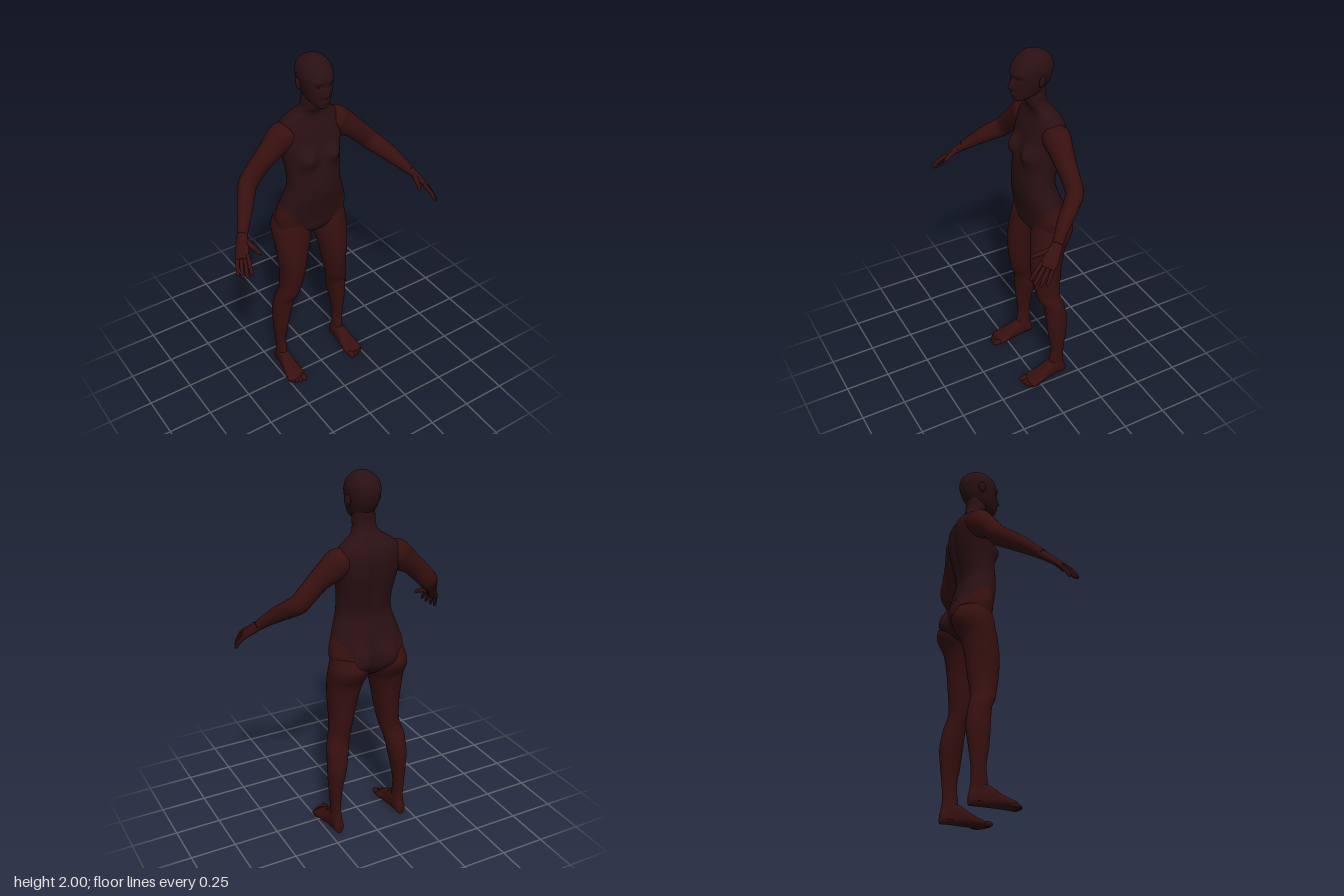
import * as THREE from 'three';

const torsoSkin = new THREE.MeshStandardMaterial({ color: 0x2a1012 });
torsoSkin.name = 'torso skin';
const limbSkin = new THREE.MeshStandardMaterial({ color: 0x36100f });
limbSkin.name = 'limb skin';

const X = new THREE.Vector3(1, 0, 0);
const Y = new THREE.Vector3(0, 1, 0);
const Z = new THREE.Vector3(0, 0, 1);

// Smooth interpolation between control rings
function refine(rings, steps) {
  const out = [], last = rings.length - 1;
  for (let i = 0; i < last; i++) {
    const p = [rings[Math.max(i - 1, 0)], rings[i], rings[i + 1], rings[Math.min(i + 2, last)]];
    for (let s = 0; s < steps; s++) {
      const t = s / steps;
      out.push(rings[i].map((_, k) => {
        const [a, b, c, d] = p.map((r) => r[k]);
        return 0.5 * (2 * b + (c - a) * t + (2 * a - 5 * b + 4 * c - d) * t * t + (3 * b - a - 3 * c + d) * t ** 3);
      }));
    }
  }
  out.push(rings[last]);
  return out;
}

// Closed skin over rings [x, y, z, radius across, radius along ref].
// dir fixes the ring direction, otherwise rings follow their path.
function loft(name, rings, { ref = Z, dir = null, n = 24, steps = 5, power = 2, side = 1, sculpt = null, isLimb = () => true } = {}) {
  const list = refine(rings, steps);
  const full = [[...list[0].slice(0, 3), 0, 0], ...list, [...list[list.length - 1].slice(0, 3), 0, 0]];
  const centres = full.map((r) => new THREE.Vector3(r[0], r[1], r[2]));
  const pos = [], body = [], limb = [];
  const bend = (v) => Math.sign(v) * Math.abs(v) ** (2 / power);
  full.forEach((r, i) => {
    const t = dir || centres[Math.min(i + 2, full.length - 1)].clone().sub(centres[Math.max(i - 2, 0)]).normalize();
    const v = ref.clone().addScaledVector(t, -ref.dot(t)).normalize();
    const u = v.clone().cross(t);
    for (let j = 0; j < n; j++) {
      const a = (j / n) * Math.PI * 2;
      const q = centres[i].clone()
        .addScaledVector(u, bend(Math.cos(a)) * Math.max(r[3], 0))
        .addScaledVector(v, bend(Math.sin(a)) * Math.max(r[4], 0));
      if (sculpt) q.z += sculpt(Math.abs(q.x), q.y, Math.cos(a));
      pos.push(q.x * side, q.y, q.z);
    }
  });
  const addFace = (a, b, c) => {
    const x = Math.abs(pos[a * 3] + pos[b * 3] + pos[c * 3]) / 3;
    const y = (pos[a * 3 + 1] + pos[b * 3 + 1] + pos[c * 3 + 1]) / 3;
    (isLimb(x, y) ? limb : body).push(...(side > 0 ? [a, b, c] : [a, c, b]));
  };
  for (let i = 0; i < full.length - 1; i++) {
    for (let j = 0; j < n; j++) {
      const a = i * n + j, b = i * n + (j + 1) % n;
      if (i > 0) addFace(a, b, b + n);
      if (i === 0) addFace(a, b + n, a + n);
      else if (i < full.length - 2) addFace(a, b + n, a + n);
    }
  }
  const g = new THREE.BufferGeometry();
  g.setAttribute('position', new THREE.Float32BufferAttribute(pos, 3));
  g.setIndex([...body, ...limb]);
  g.computeVertexNormals();
  let material = limb.length ? limbSkin : torsoSkin;
  if (body.length && limb.length) {
    g.addGroup(0, body.length, 0);
    g.addGroup(body.length, limb.length, 1);
    material = [torsoSkin, limbSkin];
  }
  const mesh = new THREE.Mesh(g, material);
  mesh.name = name;
  return mesh;
}

// Ring from [y, inner x, outer x, front z, back z]
const slice = ([y, x0, x1, zf, zb]) => [(x0 + x1) / 2, y, (zf + zb) / 2, (zf - zb) / 2, (x1 - x0) / 2];
// Symmetric ring from [y, half width, front z, back z]
const level = ([y, w, zf, zb]) => slice([y, -w, w, zf, zb]);
const bump = (x, y, cx, cy, sx, sy) => Math.exp(-(((x - cx) / sx) ** 2) - ((y - cy) / sy) ** 2);

const belowHipLine = (x, y) => y < Math.min(1.19, 0.9 + 1.4 * x);

function sculptTorso(x, y, c) {
  if (c > 0) return c * 0.045 * bump(x, y, 0.082, 1.455, 0.05, 0.05);
  return -c * (0.013 * bump(x, y, 0, 1.45, 0.025, 0.2) - 0.054 * bump(x, y, 0.085, 1.045, 0.075, 0.085));
}

function sculptHead(x, y, c) {
  if (c < 0) return 0;
  return c * (0.02 * bump(x, y, 0, 1.825, 0.014, 0.016) + 0.01 * bump(x, y, 0, 1.85, 0.011, 0.022)
    + 0.008 * bump(x, y, 0, 1.787, 0.022, 0.009) + 0.006 * bump(x, y, 0.03, 1.893, 0.025, 0.01)
    - 0.012 * bump(x, y, 0.033, 1.868, 0.018, 0.014));
}

function arm(side) {
  const g = new THREE.Group();
  g.name = side > 0 ? 'leftArm' : 'rightArm';
  g.add(loft('armLimb', [
    [0.12, 1.585, -0.115, 0.06, 0.065], [0.16, 1.567, -0.115, 0.075, 0.072], [0.2, 1.537, -0.112, 0.073, 0.062],
    [0.262, 1.49, -0.105, 0.058, 0.053], [0.32, 1.435, -0.103, 0.055, 0.046], [0.372, 1.38, -0.095, 0.053, 0.045],
    [0.41, 1.345, -0.055, 0.049, 0.042], [0.45, 1.305, 0, 0.042, 0.038], [0.49, 1.26, 0.05, 0.032, 0.03],
    [0.517, 1.23, 0.082, 0.026, 0.027],
  ], { side }));
  // Palm, flattened across the line of knuckles
  const across = new THREE.Vector3(0.53, -0.36, -0.77);
  g.add(loft('palm', [
    [0.507, 1.24, 0.07, 0.024, 0.026], [0.535, 1.205, 0.108, 0.021, 0.034],
    [0.558, 1.174, 0.146, 0.016, 0.041], [0.572, 1.155, 0.168, 0.01, 0.036],
  ], { ref: across, side }));
  const tips = [[0.565, 1.11, 0.255], [0.585, 1.09, 0.244], [0.6, 1.08, 0.219], [0.61, 1.078, 0.188]];
  tips.forEach((tip, i) => {
    const base = new THREE.Vector3(0.56, 1.168, 0.155).addScaledVector(across, -0.03 + i * 0.02);
    const end = new THREE.Vector3(...tip);
    const mid = base.clone().lerp(end, 0.55).add(new THREE.Vector3(0.003, 0.004, 0.003));
    const near = mid.clone().lerp(end, 0.88);
    g.add(loft('finger', [
      [...base, 0.011, 0.0105], [...mid, 0.0105, 0.01], [...near, 0.008, 0.008], [...end, 0.002, 0.002],
    ], { ref: across, n: 10, steps: 3, side }));
  });
  g.add(loft('thumb', [
    [0.525, 1.212, 0.105, 0.014, 0.016], [0.512, 1.204, 0.15, 0.014, 0.015], [0.5, 1.192, 0.185, 0.011, 0.011],
    [0.492, 1.18, 0.208, 0.008, 0.009], [0.489, 1.176, 0.216, 0.002, 0.002],
  ], { ref: Y, n: 12, steps: 3, side }));
  return g;
}

function leg(side) {
  const g = new THREE.Group();
  g.name = side > 0 ? 'leftLeg' : 'rightLeg';
  g.add(loft('legLimb', [
    [0.02, 0.168, 0.225, -0.09, -0.17], [0.05, 0.166, 0.226, -0.08, -0.178], [0.12, 0.17, 0.226, -0.083, -0.168],
    [0.2, 0.17, 0.23, -0.09, -0.17], [0.3, 0.157, 0.236, -0.075, -0.182], [0.4, 0.135, 0.24, -0.065, -0.19],
    [0.5, 0.115, 0.235, -0.055, -0.173], [0.55, 0.102, 0.223, -0.032, -0.159], [0.6, 0.09, 0.21, -0.018, -0.156],
    [0.7, 0.07, 0.205, 0, -0.168], [0.8, 0.05, 0.213, 0.005, -0.178], [0.9, 0.022, 0.22, -0.004, -0.197],
    [0.95, 0.004, 0.222, -0.012, -0.226], [1.0, 0.002, 0.219, -0.018, -0.243], [1.06, 0.03, 0.2, -0.035, -0.22],
  ].map(slice), { ref: X, dir: Y, n: 40, steps: 6, side, isLimb: belowHipLine }));
  // Foot rings run from heel to ball: [z, inner x, outer x, height]
  g.add(loft('foot', [
    [-0.18, 0.188, 0.208, 0.045], [-0.17, 0.172, 0.222, 0.07], [-0.13, 0.166, 0.227, 0.11], [-0.08, 0.162, 0.234, 0.105],
    [-0.03, 0.155, 0.246, 0.072], [0.02, 0.149, 0.255, 0.046], [0.05, 0.152, 0.254, 0.033], [0.065, 0.165, 0.235, 0.02],
  ].map(([z, x0, x1, h]) => [(x0 + x1) / 2, h / 2, z, (x1 - x0) / 2, h / 2]), { ref: Y, dir: Z, power: 2.5, side }));
  [[0.17, 0.1, 0.017], [0.195, 0.098, 0.012], [0.215, 0.09, 0.0115], [0.232, 0.08, 0.011], [0.247, 0.067, 0.0105]]
    .forEach(([x, z, r]) => {
      const toe = new THREE.Mesh(new THREE.SphereGeometry(1, 14, 10), limbSkin);
      toe.name = 'toe';
      toe.scale.set(r, r * 0.9, 0.032);
      toe.position.set(x * side, r * 0.92, z - 0.032);
      g.add(toe);
    });
  return g;
}

export function createModel() {
  const model = new THREE.Group();
  model.name = 'figure';
  // Torso, from the crotch up into the neck
  model.add(loft('torso', [
    [0.935, 0.03, -0.08, -0.15], [0.96, 0.09, -0.045, -0.18], [1.0, 0.19, -0.02, -0.2], [1.05, 0.209, -0.013, -0.203],
    [1.1, 0.207, -0.005, -0.2], [1.2, 0.175, 0.016, -0.183], [1.25, 0.158, 0.021, -0.17], [1.3, 0.15, 0.022, -0.167],
    [1.38, 0.152, 0.014, -0.182], [1.46, 0.165, 0.0, -0.2], [1.52, 0.178, -0.012, -0.208], [1.58, 0.18, -0.025, -0.21],
    [1.63, 0.163, -0.042, -0.2], [1.665, 0.125, -0.05, -0.178], [1.69, 0.083, -0.045, -0.16],
    [1.72, 0.062, -0.028, -0.138], [1.76, 0.058, -0.018, -0.13], [1.81, 0.055, -0.02, -0.13],
  ].map(level), { ref: X, dir: Y, n: 72, steps: 6, power: 2.25, sculpt: sculptTorso, isLimb: belowHipLine }));
  // Head
  model.add(loft('head', [
    [1.747, 0.018, 0.036, 0.0], [1.757, 0.036, 0.044, -0.035], [1.785, 0.058, 0.047, -0.11], [1.83, 0.073, 0.05, -0.148],
    [1.87, 0.081, 0.05, -0.164], [1.91, 0.085, 0.047, -0.169], [1.95, 0.076, 0.026, -0.158], [1.98, 0.052, -0.004, -0.126],
    [1.995, 0.025, -0.032, -0.088], [2.0, 0.003, -0.056, -0.062],
  ].map(level), { ref: X, dir: Y, n: 64, steps: 6, power: 2.15, sculpt: sculptHead, isLimb: () => false }));
  for (const side of [1, -1]) {
    const ear = new THREE.Mesh(new THREE.SphereGeometry(1, 16, 12), torsoSkin);
    ear.name = 'ear';
    ear.scale.set(0.011, 0.032, 0.02);
    ear.position.set(side * 0.087, 1.86, -0.07);
    ear.rotation.set(-0.15, side * 0.4, -side * 0.12);
    const eye = new THREE.Mesh(new THREE.SphereGeometry(0.012, 14, 10), torsoSkin);
    eye.name = 'eye';
    eye.position.set(side * 0.032, 1.868, 0.022);
    model.add(ear, eye, arm(side), leg(side));
  }
  return model;
}
